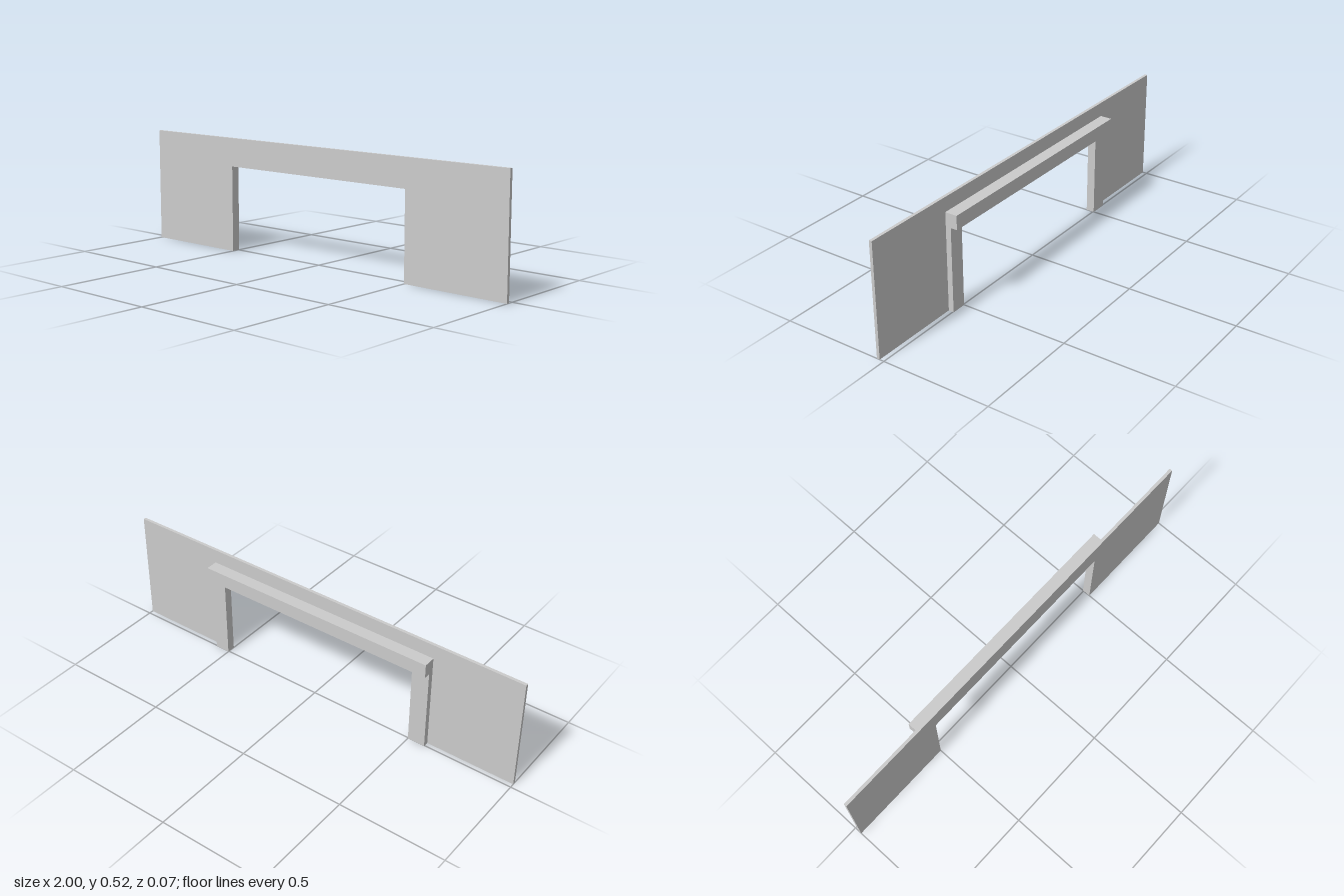
import * as THREE from 'three';

const material = new THREE.MeshStandardMaterial({ color: 0xcccccc, flatShading: true });

// Box given by its minimum and maximum corners
function box(name, [x0, y0, z0], [x1, y1, z1]) {
  const mesh = new THREE.Mesh(new THREE.BoxGeometry(x1 - x0, y1 - y0, z1 - z0), material);
  mesh.position.set((x0 + x1) / 2, (y0 + y1) / 2, (z0 + z1) / 2);
  mesh.name = name;
  return mesh;
}

export function createModel() {
  const group = new THREE.Group();
  group.name = 'wallWithOpening';

  const height = 0.523, openingHeight = 0.393, openingHalf = 0.5;
  const front = 0.035, panelBack = 0.021, postBack = -0.004, beamBack = -0.035;
  const beamLeft = 0.57, beamRight = -0.582, beamTop = 0.457;

  // Thin front panel with a doorway cut out of its lower edge
  const outline = [
    [-1, 0], [-openingHalf, 0], [-openingHalf, openingHeight], [openingHalf, openingHeight],
    [openingHalf, 0], [1, 0], [1, height], [-1, height],
  ].map(([x, y]) => new THREE.Vector2(x, y));
  const panel = new THREE.Mesh(
    new THREE.ExtrudeGeometry(new THREE.Shape(outline), { depth: front - panelBack, bevelEnabled: false }),
    material,
  );
  panel.position.z = panelBack;
  panel.name = 'frontPanel';
  group.add(panel);

  // Posts behind the panel, flush with the opening and the beam ends
  group.add(
    box('leftPost', [openingHalf, 0, postBack], [beamLeft, openingHeight, panelBack]),
    box('rightPost', [beamRight, 0, postBack], [-openingHalf, openingHeight, panelBack]),
  );

  // Lintel beam resting on the posts
  group.add(box('lintelBeam', [beamRight, openingHeight, beamBack], [beamLeft, beamTop, panelBack]));

  return group;
}
